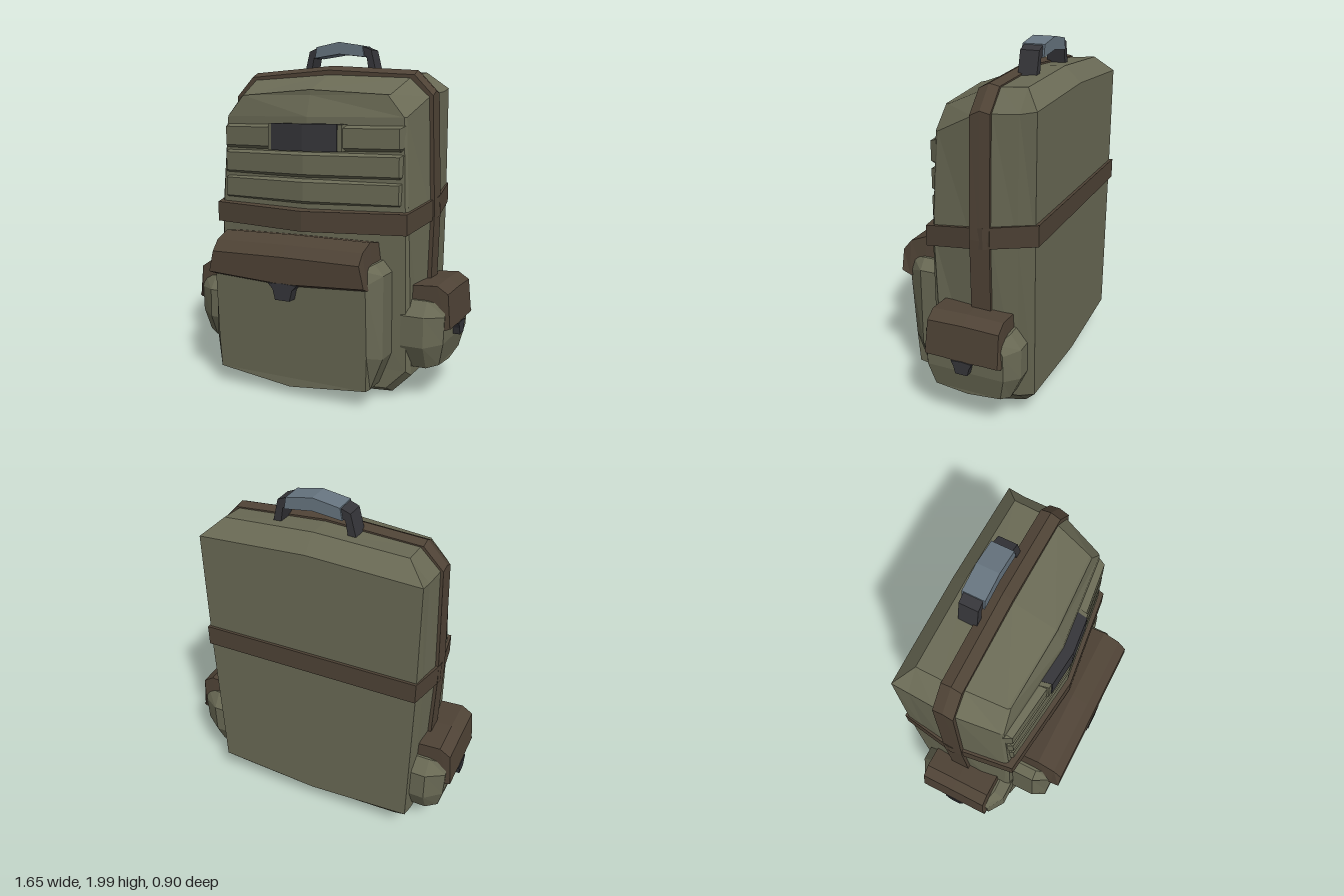
import * as THREE from 'three';

const mat = (name, color) => {
  const m = new THREE.MeshStandardMaterial({ color, flatShading: true });
  m.name = name;
  return m;
};

// Loft through symmetric rings. Each ring is half an outline, from its centre
// start point round the +x side to its centre end point; it is mirrored in x.
// bulge pushes the middle of the last cap forward, row by row.
function loft(rings, bulge = []) {
  const pos = [];
  const V = (p) => new THREE.Vector3(...p);
  const tri = (a, b, c) => {
    const area = V(b).sub(V(a)).cross(V(c).sub(V(a))).length();
    if (area > 1e-7) pos.push(...a, ...b, ...c);
  };
  const quad = (a, b, c, d) => { tri(a, b, c); tri(a, c, d); };
  const flip = (p) => [-p[0], p[1], p[2]];
  const both = (a, b, c, d) => {
    quad(a, b, c, d);
    quad(flip(d), flip(c), flip(b), flip(a));
  };
  for (let s = 0; s < rings.length - 1; s++) {
    const A = rings[s], B = rings[s + 1];
    for (let i = 0; i < A.length - 1; i++) both(A[i], A[i + 1], B[i + 1], B[i]);
  }
  const cap = (R, b, front) => {
    const mid = (i) => [0, R[i][1], R[i][2] + (b[i] || 0)];
    for (let i = 0; i < R.length - 1; i++) {
      if (front) both(R[i], R[i + 1], mid(i + 1), mid(i));
      else both(mid(i), mid(i + 1), R[i + 1], R[i]);
    }
  };
  cap(rings[0], [], false);
  cap(rings[rings.length - 1], bulge, true);
  const g = new THREE.BufferGeometry();
  g.setAttribute('position', new THREE.Float32BufferAttribute(pos, 3));
  g.computeVertexNormals();
  return g;
}

// Ring of [x, y] points at one depth
const at = (z, pts) => pts.map(([x, y]) => [x, y, z]);
// Ring of [x, z] points at one height
const level = (y, pts) => pts.map(([x, z]) => [x, y, z]);

export function createModel() {
  const olive = mat('olive canvas', 0x6a6a55);
  const brown = mat('brown leather', 0x4f4336);
  const dark = mat('dark plastic', 0x36363a);
  const grey = mat('grey grip', 0x677580);

  const model = new THREE.Group();
  model.name = 'backpack';
  const add = (parent, name, geometry, material) => {
    const m = new THREE.Mesh(geometry, material);
    m.name = name;
    parent.add(m);
    return m;
  };

  // Main bag, from the back panel to the pointed front panel
  add(model, 'body', loft([
    at(-0.43, [[0, 0.15], [0.6, 0.19], [0.6, 0.19], [0.615, 1.05], [0.615, 1.73], [0.615, 1.73], [0, 1.76]]),
    at(-0.34, [[0, 0.05], [0.5, 0.07], [0.605, 0.16], [0.625, 1.05], [0.615, 1.71], [0.51, 1.82], [0, 1.845]]),
    at(-0.2, [[0, 0.01], [0.5, 0.035], [0.61, 0.15], [0.64, 1.05], [0.62, 1.7], [0.51, 1.81], [0, 1.84]]),
    at(-0.09, [[0, 0.01], [0.5, 0.035], [0.61, 0.15], [0.635, 1.03], [0.615, 1.68], [0.5, 1.785], [0, 1.81]]),
    [[0, 0.01, 0.15], [0.5, 0.04, 0.12], [0.61, 0.15, 0.12], [0.595, 1, 0.155], [0.565, 1.57, 0.13], [0.465, 1.69, 0.12], [0, 1.72, 0.15]],
    [[0, 0.05, 0.2], [0.48, 0.07, 0.17], [0.59, 0.18, 0.16], [0.58, 1, 0.17], [0.555, 1.57, 0.145], [0.455, 1.69, 0.135], [0, 1.72, 0.16]],
  ], [0, 0.03, 0.04, 0.05, 0.055, 0.025, 0]), olive);

  // Strap over the top and down both sides
  const strapRing = (z, top) => at(z, [[0, 0.3], [0.637, 0.3], [0.657, 1.05], [0.635, top - 0.15], [0.525, top - 0.035], [0, top]]);
  add(model, 'overStrap', loft([strapRing(-0.197, 1.85), strapRing(-0.14, 1.862), strapRing(-0.085, 1.835)]), brown);

  // Belt around the bag, rising toward the back
  const beltRing = (dy) => [[0, 0.27], [0.6, 0.2], [0.66, -0.16], [0.62, -0.45], [0, -0.45]]
    .map(([x, z]) => [x, 1.035 - 0.17 * z + dy, z]);
  add(model, 'belt', loft([beltRing(-0.055), beltRing(0.06)]), brown);

  // Three padded ridges on the front panel
  const ridgeRing = (y, inset) => level(y, [[0, 0.25 - inset], [0.545, 0.185 - inset], [0.565, 0.14], [0, 0.1]]);
  for (let i = 0; i < 3; i++) {
    const y = 1.085 + i * 0.15;
    add(model, 'frontRidge', loft([
      ridgeRing(y, 0.035), ridgeRing(y + 0.018, 0), ridgeRing(y + 0.125, 0), ridgeRing(y + 0.14, 0.035),
    ]), olive);
  }
  // Dark patch with its surround on the top ridge
  const patchRing = (y, w, z) => level(y, [[0, z], [w, z - 0.02], [w + 0.015, 0.16], [0, 0.16]]);
  add(model, 'patchSurround', loft([patchRing(1.385, 0.23, 0.253), patchRing(1.53, 0.23, 0.253)]), olive);
  add(model, 'frontPatch', loft([patchRing(1.383, 0.205, 0.26), patchRing(1.533, 0.205, 0.26)]), dark);

  // Large front pocket with flap and buckle
  const front = new THREE.Group();
  front.name = 'frontPocket';
  front.position.x = -0.02;
  model.add(front);
  const big = [[0, 0.05], [0.46, 0.1], [0.53, 0.28], [0.53, 0.74], [0.48, 0.8], [0, 0.82]];
  add(front, 'frontPouch', loft([
    at(0.14, big), at(0.3, big),
    [[0, 0.06, 0.37], [0.46, 0.11, 0.365], [0.468, 0.3, 0.375], [0.468, 0.7, 0.4], [0.44, 0.78, 0.4], [0, 0.8, 0.4]],
  ]), olive);
  const bigFlap = (z, low, top) => at(z, [[0, low], [0.48, low + 0.025], [0.452, top - 0.005], [0, top]]);
  add(front, 'frontFlap', loft([
    bigFlap(0.17, 0.65, 0.9), bigFlap(0.3, 0.65, 0.92), bigFlap(0.4, 0.65, 0.88), bigFlap(0.45, 0.67, 0.82),
  ]), brown);
  const bigBuckle = [[0, 0.58], [0.045, 0.58], [0.06, 0.64], [0.09, 0.67], [0, 0.675]];
  add(front, 'frontBuckle', loft([at(0.38, bigBuckle), at(0.453, bigBuckle)]), dark);

  // Side pockets, built facing +z and turned outward
  const small = [[0, 0.18], [0.22, 0.2], [0.28, 0.33], [0.28, 0.5], [0.22, 0.58], [0, 0.6]];
  const smallFlap = (z, low, top) => at(z, [[0, low], [0.215, low + 0.01], [0.203, top - 0.005], [0, top]]);
  const smallBuckle = [[0, 0.36], [0.035, 0.36], [0.045, 0.4], [0.06, 0.43], [0, 0.435]];
  for (const side of [1, -1]) {
    const pocket = new THREE.Group();
    pocket.name = side > 0 ? 'leftPocket' : 'rightPocket';
    pocket.position.z = -0.11;
    pocket.rotation.y = side * Math.PI / 2;
    model.add(pocket);
    add(pocket, 'sidePouch', loft([
      at(0.56, small), at(0.69, small),
      [[0, 0.2, 0.755], [0.19, 0.22, 0.755], [0.22, 0.35, 0.785], [0.22, 0.5, 0.79], [0.19, 0.56, 0.79], [0, 0.58, 0.79]],
    ]), olive);
    add(pocket, 'sideFlap', loft([
      smallFlap(0.58, 0.42, 0.66), smallFlap(0.74, 0.42, 0.67), smallFlap(0.802, 0.42, 0.63), smallFlap(0.82, 0.43, 0.44),
    ]), brown);
    add(pocket, 'sideBuckle', loft([at(0.76, smallBuckle), at(0.825, smallBuckle)]), dark);
  }

  // Carry handle: two bent posts and a grip
  const handle = new THREE.Group();
  handle.name = 'handle';
  handle.position.x = 0.025;
  model.add(handle);
  const slab = (pts, z0, z1) => new THREE.ExtrudeGeometry(
    new THREE.Shape(pts.map((p) => new THREE.Vector2(...p))), { depth: z1 - z0, bevelEnabled: false },
  ).translate(0, 0, z0);
  for (const s of [1, -1]) {
    const post = [[0.235, 1.81], [0.2, 1.95], [0.15, 1.97], [0.15, 1.92], [0.172, 1.91], [0.19, 1.81]];
    add(handle, 'handlePost', slab(post.map(([x, y]) => [x * s, y]), -0.28, -0.175), dark);
  }
  add(handle, 'handleGrip', slab(
    [[-0.16, 1.91], [0, 1.93], [0.16, 1.91], [0.148, 1.975], [0, 2], [-0.148, 1.975]], -0.29, -0.165,
  ), grey);
  return model;
}
